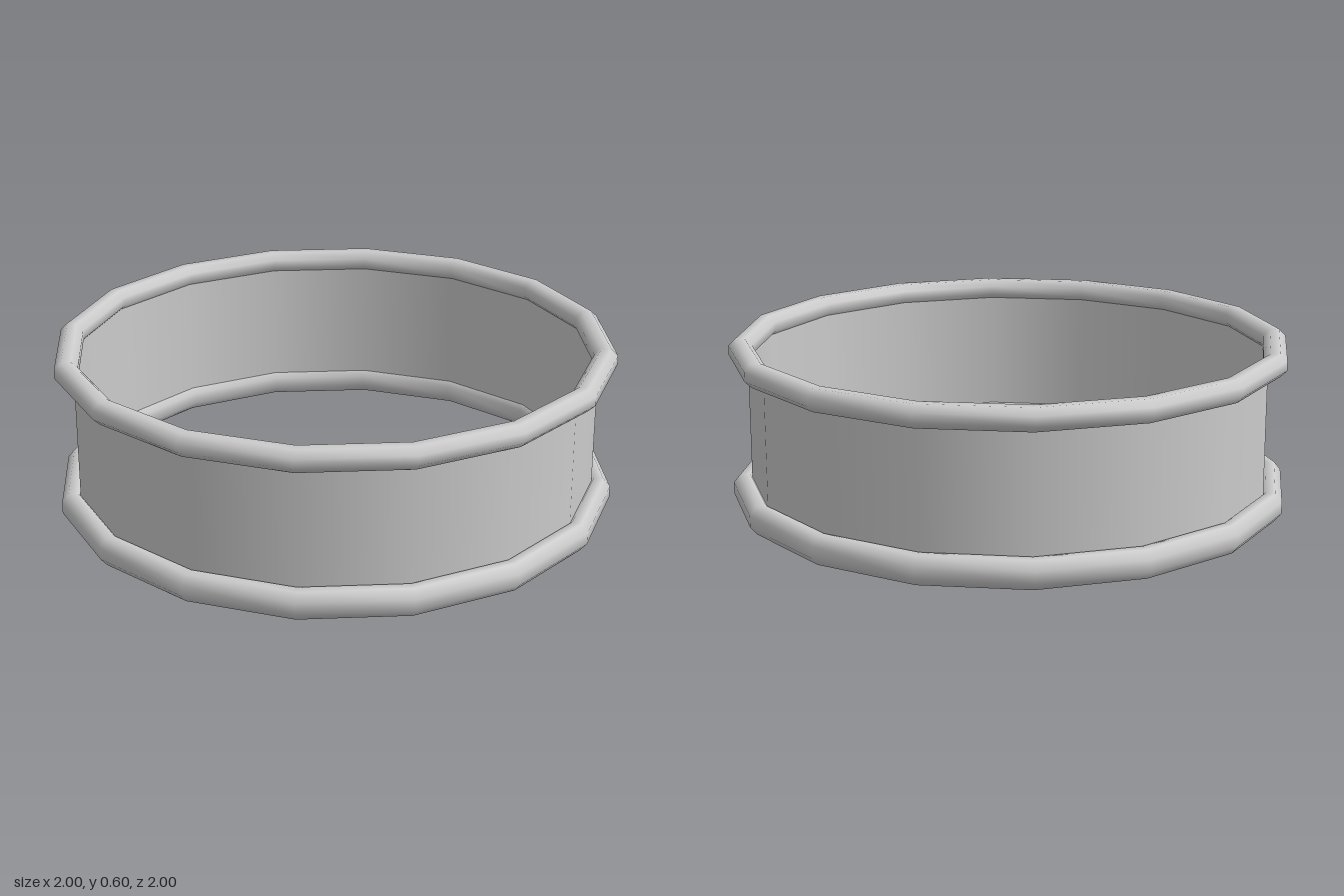
import * as THREE from 'three';
import { mergeVertices } from 'three/addons/utils/BufferGeometryUtils.js';

const SIDES = 16;
const material = new THREE.MeshStandardMaterial({ color: 0xcccccc });
const wallMaterial = new THREE.MeshStandardMaterial({ color: 0xcccccc, side: THREE.DoubleSide });

// Closed rim with an octagonal section, flat on top, bottom, inside and outside
function rim(name, inner, outer, bottom, top) {
  const scale = 1 / Math.cos(Math.PI / 8);
  const rx = (outer - inner) / 2 * scale, ry = (top - bottom) / 2 * scale;
  const profile = [];
  for (let i = 0; i <= 8; i++) {
    const a = (i % 8 + 0.5) * Math.PI / 4;
    profile.push(new THREE.Vector2((inner + outer) / 2 + rx * Math.cos(a), (bottom + top) / 2 + ry * Math.sin(a)));
  }
  let geometry = new THREE.LatheGeometry(profile, SIDES);
  // Weld the seams so the rim shades smoothly all round
  geometry.deleteAttribute('uv');
  geometry.deleteAttribute('normal');
  geometry = mergeVertices(geometry, 1e-4);
  geometry.computeVertexNormals();
  const mesh = new THREE.Mesh(geometry, material);
  mesh.name = name;
  return mesh;
}

export function createModel() {
  const model = new THREE.Group();
  model.name = 'rimmedBand';

  // Thin open wall, its ends buried in the rims
  const bottom = 0.05, top = 0.56;
  const wall = new THREE.Mesh(
    new THREE.CylinderGeometry(0.933, 0.933, top - bottom, SIDES, 1, true), wallMaterial);
  wall.name = 'bandWall';
  wall.position.y = (bottom + top) / 2;

  model.add(
    wall,
    rim('upperRim', 0.917, 1, 0.522, 0.602),
    rim('lowerRim', 0.917, 1, 0, 0.1),
  );
  return model;
}
